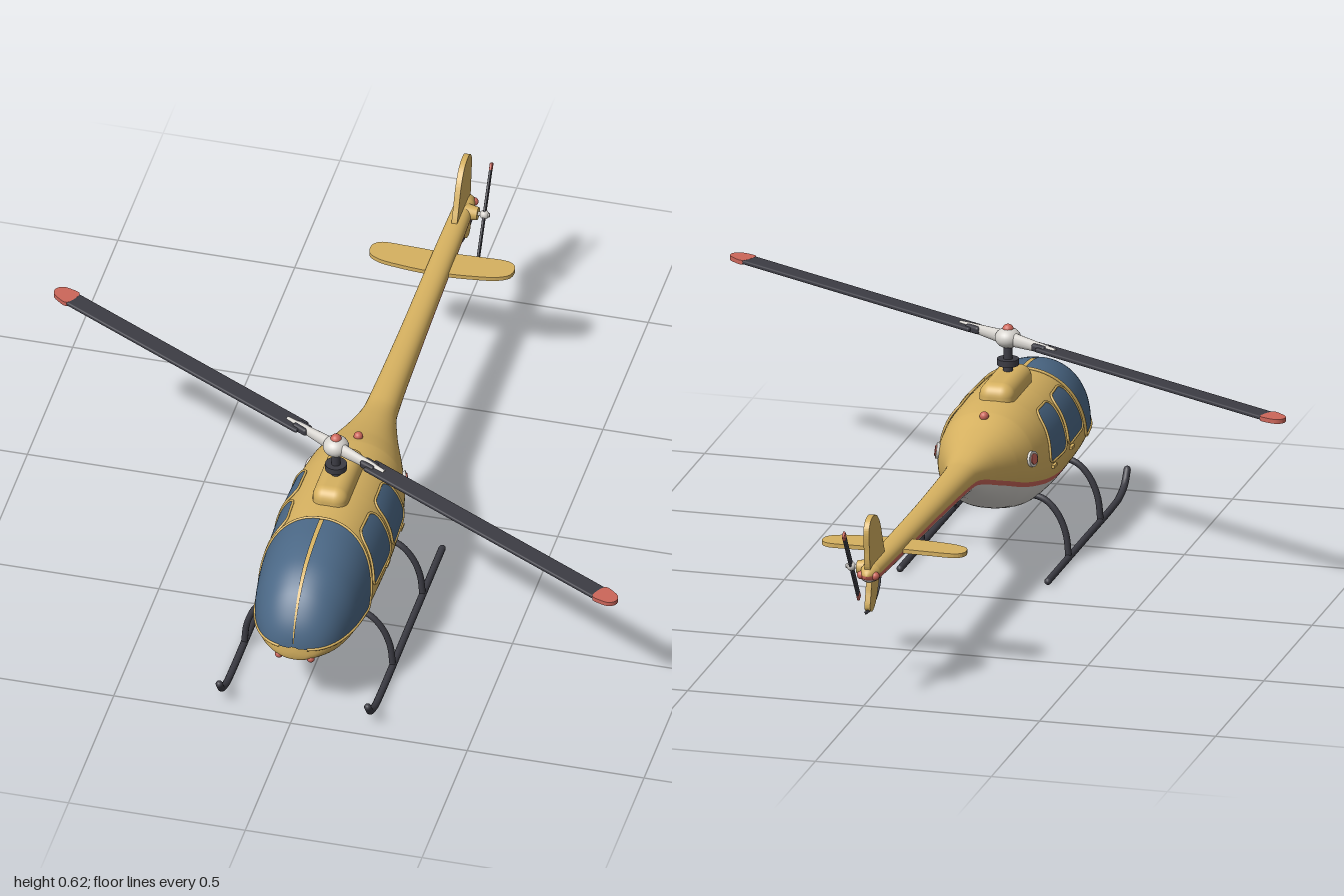
import * as THREE from 'three';
import { RoundedBoxGeometry } from 'three/addons/geometries/RoundedBoxGeometry.js';

const mat = (name, color, side = THREE.FrontSide) => {
  const m = new THREE.MeshStandardMaterial({ color, side });
  m.name = name;
  return m;
};
const { lerp, clamp } = THREE.MathUtils;
const V = (x, y, z) => new THREE.Vector3(x, y, z);

// Fuselage stations: z, top, bottom, half width, height of widest point
const NOSE = 0.97, N = 2.2;
const toQ = z => Math.sqrt(Math.max(0, NOSE - z));
const stations = [
  [0.97, 0.222, 0.222, 0, 0.222], [0.965, 0.268, 0.195, 0.042, 0.222], [0.94, 0.325, 0.185, 0.086, 0.23],
  [0.89, 0.383, 0.17, 0.12, 0.235], [0.81, 0.425, 0.157, 0.144, 0.245], [0.7, 0.443, 0.145, 0.155, 0.255],
  [0.5, 0.448, 0.136, 0.16, 0.265], [0.38, 0.448, 0.138, 0.155, 0.27], [0.28, 0.44, 0.162, 0.14, 0.285],
  [0.2, 0.418, 0.198, 0.112, 0.305], [0.1, 0.395, 0.247, 0.073, 0.322], [0, 0.38, 0.295, 0.047, 0.338],
  [-0.3, 0.38, 0.31, 0.038, 0.345], [-0.93, 0.388, 0.337, 0.028, 0.363], [-0.955, 0.384, 0.343, 0.022, 0.363],
  [-0.968, 0.375, 0.353, 0.011, 0.364], [-0.972, 0.364, 0.364, 0, 0.364],
].map(([z, ...r]) => [toQ(z), ...r]);
const stripe = [[0.97, 0.162], [0.84, 0.175], [0.68, 0.187], [0.46, 0.211], [0.25, 0.25], [0.14, 0.286],
  [0, 0.325], [-0.28, 0.337], [-0.94, 0.357], [-0.98, 0.358]].map(([z, y]) => [toQ(z), y]);

// Monotone cubic interpolation of one table column
function sample(t, col, q) {
  let i = 0;
  while (i < t.length - 2 && q > t[i + 1][0]) i++;
  const slope = k => (t[k + 1][col] - t[k][col]) / (t[k + 1][0] - t[k][0]);
  const tan = k => {
    if (k === 0) return slope(0);
    if (k === t.length - 1) return slope(k - 1);
    const a = slope(k - 1), b = slope(k);
    return a * b <= 0 ? 0 : 2 * a * b / (a + b);
  };
  const h = t[i + 1][0] - t[i][0], s = clamp((q - t[i][0]) / h, 0, 1), s2 = s * s, s3 = s2 * s;
  return t[i][col] * (2 * s3 - 3 * s2 + 1) + t[i + 1][col] * (3 * s2 - 2 * s3)
    + h * (tan(i) * (s3 - 2 * s2 + s) + tan(i + 1) * (s3 - s2));
}
const pw = v => Math.sign(v) * Math.abs(v) ** (2 / N);

// Point on the fuselage at q (distance measure from nose) and angle a (0 = left, PI/2 = top)
function skin(q, a) {
  const [top, bot, w, yc] = [1, 2, 3, 4].map(c => sample(stations, c, q));
  const s = Math.sin(a);
  return V(w * pw(Math.cos(a)), yc + (s > 0 ? top - yc : yc - bot) * pw(s), NOSE - q * q);
}
function skinNormal(q, a) {
  const dq = skin(q + 0.004, a).sub(skin(Math.max(0, q - 0.004), a));
  return dq.cross(skin(q, a + 0.03).sub(skin(q, a - 0.03))).normalize();
}
const raised = (q, a, d) => skin(q, a).addScaledVector(skinNormal(q, a), d);
function angleAt(q, y) {
  const yc = sample(stations, 4, q), h = y > yc ? sample(stations, 1, q) - yc : yc - sample(stations, 2, q);
  const s = clamp((y - yc) / Math.max(h, 1e-6), -1, 1);
  return Math.asin(Math.sign(s) * Math.abs(s) ** (N / 2));
}

// Surface from a grid of points
function grid(nu, nv, fn) {
  const pos = [], idx = [];
  for (let i = 0; i <= nu; i++) for (let j = 0; j <= nv; j++) {
    pos.push(...fn(i / nu, j / nv).toArray());
    if (i < nu && j < nv) {
      const k = i * (nv + 1) + j, m = k + nv + 1;
      idx.push(k, m, k + 1, k + 1, m, m + 1);
    }
  }
  const g = new THREE.BufferGeometry();
  g.setAttribute('position', new THREE.Float32BufferAttribute(pos, 3));
  g.setIndex(idx);
  g.computeVertexNormals();
  return g;
}
const tube = (pts, r, n = 40, closed = false) =>
  new THREE.TubeGeometry(new THREE.CatmullRomCurve3(pts, closed), n, r, 10, closed);

// Flat plate with a smooth outline, centred on its thickness
function plate(pts, depth) {
  const curve = new THREE.CatmullRomCurve3(pts.map(p => V(p[0], p[1], 0)), true, 'centripetal');
  const shape = new THREE.Shape(curve.getPoints(60).slice(0, -1).map(p => new THREE.Vector2(p.x, p.y)));
  return new THREE.ExtrudeGeometry(shape, { depth, bevelEnabled: false }).translate(0, 0, -depth / 2);
}

export function createModel() {
  const yellow = mat('yellow paint', 0xd6b160), white = mat('white paint', 0xd6d3ce);
  const red = mat('red paint', 0xcc665a), dark = mat('dark metal', 0x3c3c44);
  const glass = mat('blue glass', 0x4b6886, THREE.DoubleSide);
  const root = new THREE.Group();
  root.name = 'helicopter';
  const add = (name, geo, m, x = 0, y = 0, z = 0, parent = root) => {
    const mesh = new THREE.Mesh(geo, m);
    mesh.name = name;
    mesh.position.set(x, y, z);
    parent.add(mesh);
    return mesh;
  };

  // Fuselage in bands: painted top, side stripes, pale belly
  const qs = [...stations.map(s => s[0]), ...Array.from({ length: 90 }, (_, i) => toQ(-0.972) * i / 90)].sort((a, b) => a - b);
  const band = (nv, lo, hi) => grid(qs.length - 1, nv, (u, v) => {
    const q = qs[Math.round(u * (qs.length - 1))];
    return skin(q, lerp(lo(q), hi(q), v));
  });
  const upper = q => angleAt(q, sample(stripe, 1, q) + 0.007);
  const lower = q => angleAt(q, sample(stripe, 1, q) - 0.007);
  add('upperFuselage', band(48, upper, q => Math.PI - upper(q)), yellow);
  add('belly', band(32, q => Math.PI - lower(q), q => 2 * Math.PI + lower(q)), white);
  add('leftStripe', band(3, lower, upper), red);
  add('rightStripe', band(3, q => Math.PI - upper(q), q => Math.PI - lower(q)), red);

  // Windscreen in two halves with a centre bar and rim
  const screen = (u, v) => {
    const q = lerp(0.03, toQ(lerp(0.742, 0.65, Math.sin(Math.PI * v))), u), a = angleAt(q, 0.238);
    return raised(q, lerp(a, Math.PI - a, v), 0.004);
  };
  add('windscreenLeft', grid(28, 20, (u, v) => screen(u, v * 0.493)), glass);
  add('windscreenRight', grid(28, 20, (u, v) => screen(u, 0.507 + v * 0.493)), glass);
  const rim = [];
  for (let i = 1; i <= 12; i++) rim.push(screen(i / 12, 0));
  for (let i = 1; i <= 20; i++) rim.push(screen(1, i / 20));
  for (let i = 11; i >= 1; i--) rim.push(screen(i / 12, 1));
  add('windscreenRim', tube(rim, 0.004, 120), yellow);

  // Side windows: front bottom, front top, rear bottom, rear top edges in z
  const windows = { front: [0.7, 0.648, 0.53, 0.53], rear: [0.508, 0.508, 0.362, 0.392] };
  for (const s of [1, -1]) {
    const side = s > 0 ? 'left' : 'right';
    const face = a => (s > 0 ? a : Math.PI - a);
    for (const [key, [fb, ft, rb, rt]] of Object.entries(windows)) {
      const r = 0.025, y0 = 0.276, y1 = 0.41;
      const pane = (u, v0) => {
        const v = (1 - Math.cos(Math.PI * (s > 0 ? v0 : 1 - v0))) / 2, y = lerp(y0, y1, v);
        const d = Math.max(0, r - Math.min(y - y0, y1 - y)), inset = r - Math.sqrt(Math.max(0, r * r - d * d));
        const q = toQ(lerp(lerp(fb, ft, v) - inset, lerp(rb, rt, v) + inset, u));
        return raised(q, face(angleAt(q, y)), 0.004);
      };
      add(`${side}${key}Window`, grid(10, 20, pane), glass);
      const loop = [];
      for (let i = 0; i <= 12; i++) loop.push(pane(0, i / 12));
      for (let i = 1; i < 4; i++) loop.push(pane(i / 4, 1));
      for (let i = 12; i >= 0; i--) loop.push(pane(1, i / 12));
      for (let i = 3; i > 0; i--) loop.push(pane(i / 4, 0));
      add(`${side}${key}WindowRim`, tube(loop, 0.0035, 90, true), yellow);
      const q = toQ(rb + 0.035), p = raised(q, face(angleAt(q, 0.262)), 0.003);
      add(`${side}${key}DoorHandle`, new THREE.BoxGeometry(0.01, 0.008, 0.03), yellow, p.x, p.y, p.z);
    }
    // Round filler caps behind the cabin
    const q = toQ(0.26), a = face(angleAt(q, 0.322)), n = skinNormal(q, a);
    for (const [name, rad, h, m] of [['CapRing', 0.022, 0.014, white], ['Cap', 0.015, 0.02, red]]) {
      const p = skin(q, a);
      add(side + name, new THREE.CylinderGeometry(rad, rad, h, 24), m, p.x, p.y, p.z)
        .quaternion.setFromUnitVectors(V(0, 1, 0), n);
    }
    add(`${side}NoseLight`, new THREE.SphereGeometry(0.011, 16, 12), red, s * 0.045, 0.197, 0.952);
    add(`${side}TailLight`, new THREE.SphereGeometry(0.012, 16, 12), red, s * 0.02, 0.362, -0.952);

    // Landing skid and its two legs
    add(`${side}Skid`, tube([V(s * 0.21, 0.012, 0.145), V(s * 0.21, 0.012, 0.5), V(s * 0.21, 0.012, 0.82),
      V(s * 0.21, 0.017, 0.885), V(s * 0.21, 0.038, 0.94), V(s * 0.21, 0.072, 0.967)], 0.01, 60), dark);
    add(`${side}SkidEnd`, new THREE.SphereGeometry(0.01, 12, 8), dark, s * 0.21, 0.012, 0.145);
    add(`${side}SkidTip`, new THREE.SphereGeometry(0.01, 12, 8), dark, s * 0.21, 0.072, 0.967);
    for (const z of [0.69, 0.36]) add(`${side}SkidLeg`, tube([V(s * 0.21, 0.012, z), V(s * 0.202, 0.08, z),
      V(s * 0.178, 0.137, z), V(s * 0.14, 0.175, z), V(s * 0.07, 0.19, z)], 0.009, 24), dark);
  }
  add('topBeacon', new THREE.SphereGeometry(0.013, 16, 12), red, 0, 0.437, 0.25);

  // Engine cowling, mast and main rotor
  add('cowling', new RoundedBoxGeometry(0.1, 0.11, 0.235, 5, 0.035), yellow, 0, 0.435, 0.472);
  const rotor = new THREE.Group();
  rotor.name = 'mainRotor';
  rotor.position.set(0, 0.583, 0.497);
  rotor.rotation.y = -0.494;
  root.add(rotor);
  add('mast', new THREE.CylinderGeometry(0.012, 0.014, 0.1, 20), dark, 0, -0.06, 0, rotor);
  add('swashPlate', new THREE.CylinderGeometry(0.03, 0.03, 0.018, 28), dark, 0, -0.067, 0, rotor);
  add('hub', new THREE.SphereGeometry(0.036, 28, 18).scale(1, 0.8, 1), white, 0, 0.002, 0, rotor);
  add('hubCap', new THREE.SphereGeometry(0.016, 20, 12), red, 0, 0.025, 0, rotor);
  for (const turn of [0, Math.PI]) {
    const arm = new THREE.Group();
    arm.name = 'rotorBlade';
    arm.rotation.y = turn;
    rotor.add(arm);
    add('bladeGrip', new THREE.CylinderGeometry(0.01, 0.02, 0.16, 16).scale(1, 1, 0.75).rotateZ(-Math.PI / 2), white, 0.1, 0, 0, arm);
    add('bladeRoot', new RoundedBoxGeometry(0.05, 0.022, 0.034, 3, 0.008), dark, 0.125, 0, 0, arm);
    add('blade', new RoundedBoxGeometry(0.86, 0.012, 0.054, 3, 0.005), dark, 0.555, 0, 0, arm);
    add('bladeTip', plate([[0.98, -0.027], [1.01, -0.027], [1.035, -0.018], [1.043, 0], [1.035, 0.018], [1.01, 0.027], [0.98, 0.027]], 0.0125)
      .rotateX(Math.PI / 2), red, 0, 0, 0, arm);
  }

  // Tail surfaces
  add('stabilizer', plate([[0, -0.615], [0.1, -0.622], [0.17, -0.635], [0.199, -0.655], [0.203, -0.69], [0.185, -0.71], [0.1, -0.712],
    [0, -0.708], [-0.1, -0.712], [-0.185, -0.71], [-0.203, -0.69], [-0.199, -0.655], [-0.17, -0.635], [-0.1, -0.622]], 0.012)
    .rotateX(Math.PI / 2), yellow, 0, 0.357, 0);
  add('upperFin', plate([[-0.81, 0.37], [-0.83, 0.43], [-0.865, 0.495], [-0.905, 0.523], [-0.95, 0.523], [-0.972, 0.5],
    [-0.968, 0.44], [-0.95, 0.37]], 0.016).rotateY(-Math.PI / 2), yellow);
  add('lowerFin', plate([[-0.865, 0.355], [-0.88, 0.3], [-0.905, 0.268], [-0.94, 0.255], [-0.96, 0.268], [-0.952, 0.31],
    [-0.935, 0.355]], 0.016).rotateY(-Math.PI / 2), yellow);
  add('tailGuard', tube([V(0, 0.338, -0.825), V(0, 0.295, -0.845), V(0, 0.268, -0.89), V(0, 0.259, -0.94), V(0, 0.265, -0.998)], 0.0045), dark);

  // Tail rotor on the left side
  const tail = new THREE.Group();
  tail.name = 'tailRotor';
  tail.position.set(0.063, 0.366, -0.897);
  tail.rotation.x = -0.6;
  root.add(tail);
  add('gearbox', new THREE.CylinderGeometry(0.018, 0.024, 0.035, 20).rotateZ(-Math.PI / 2), yellow, -0.035, 0, 0, tail);
  add('tailShaft', new THREE.CylinderGeometry(0.006, 0.006, 0.06, 12).rotateZ(Math.PI / 2), white, -0.015, 0, 0, tail);
  add('tailHub', new THREE.SphereGeometry(0.013, 16, 12), white, 0, 0, 0, tail);
  add('tailBlades', new RoundedBoxGeometry(0.007, 0.25, 0.02, 2, 0.003), dark, 0, 0, 0, tail);
  for (const s of [1, -1]) add('tailBladeTip', new RoundedBoxGeometry(0.0075, 0.022, 0.02, 2, 0.003), red, 0, s * 0.133, 0, tail);
  return root;
}
